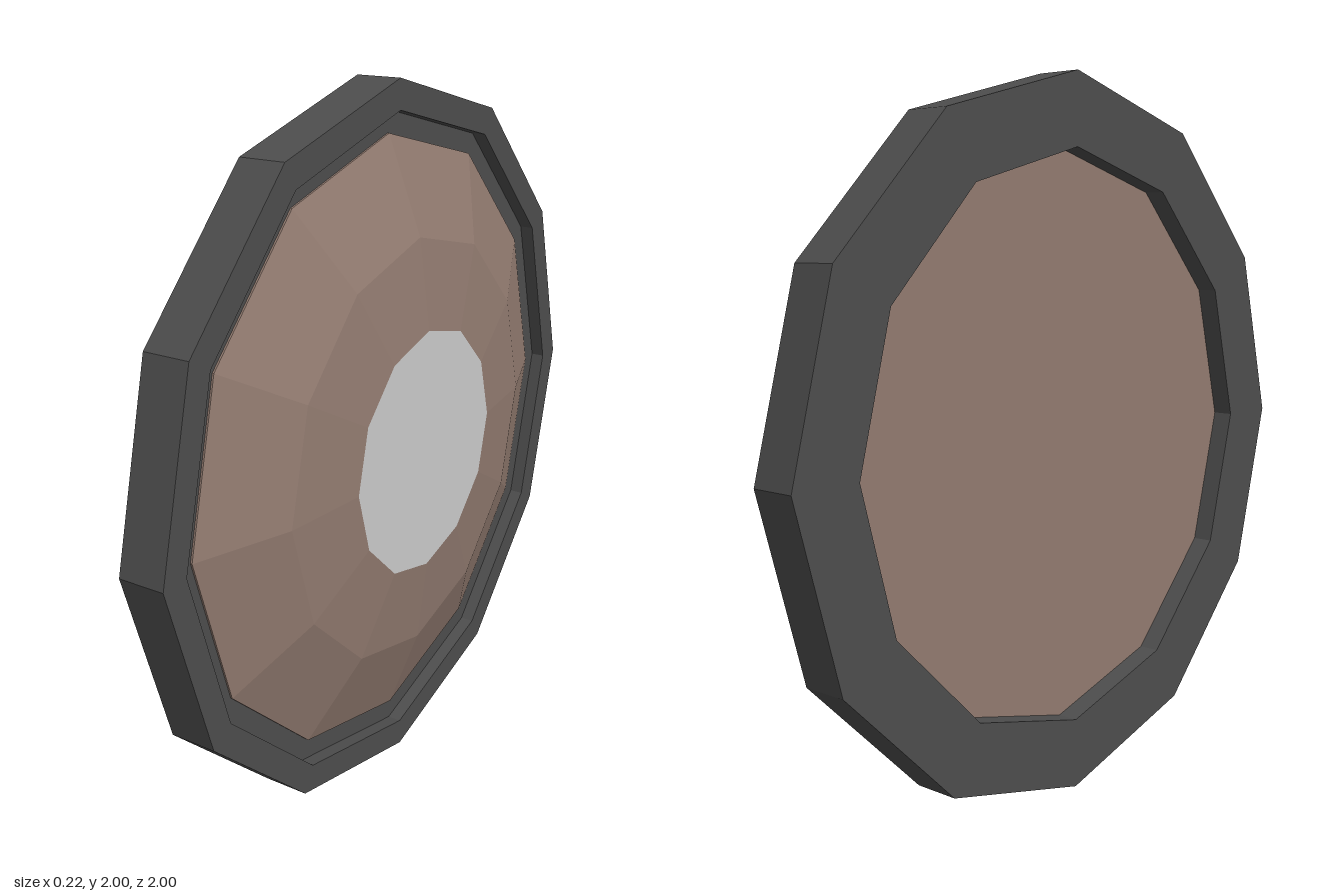
import * as THREE from 'three';

const SIDES = 12;

// Turns an outline of [radius, height] points into a faceted solid
function turned(name, color, outline) {
  const points = outline.map(([r, h]) => new THREE.Vector2(r, h));
  const mesh = new THREE.Mesh(
    new THREE.LatheGeometry(points, SIDES),
    new THREE.MeshStandardMaterial({ color, flatShading: true })
  );
  mesh.name = name;
  return mesh;
}

export function createModel() {
  const shield = new THREE.Group();
  shield.name = 'roundShield';

  // Outer rim with a stepped inner ledge on the front
  shield.add(turned('rim', 0x4d4d4d, [
    [0.8, -0.11], [1, -0.11], [1, 0.02], [0.92, 0.02],
    [0.92, -0.02], [0.8, -0.02], [0.8, -0.11],
  ]));

  // Shallow domed face with a flat back
  shield.add(turned('face', 0x927b70, [
    [0, -0.05], [0.86, -0.05], [0.86, -0.015], [0.6, 0.08], [0.35, 0.11],
  ]));

  // Flat centre plate
  shield.add(turned('centrePlate', 0xcccccc, [[0.35, 0.11], [0, 0.11]]));

  // Stand the disc upright, domed side towards +x
  shield.rotation.z = -Math.PI / 2;
  shield.position.y = 1;

  const model = new THREE.Group();
  model.name = 'shieldModel';
  model.add(shield);
  return model;
}
